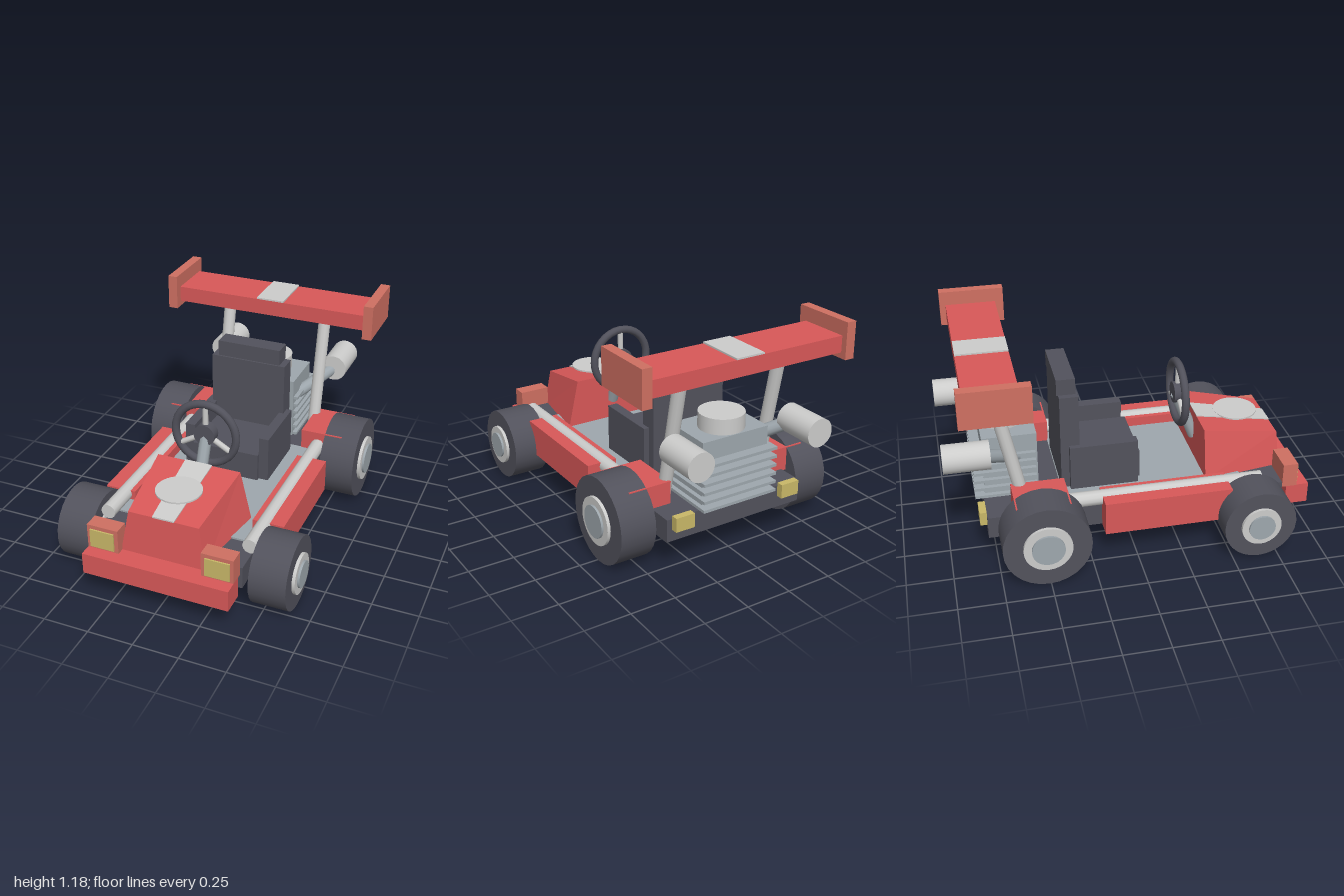
import * as THREE from 'three';

const paint = (name, color, extra = {}) => {
  const m = new THREE.MeshStandardMaterial({ color, ...extra });
  m.name = name;
  return m;
};

export function createModel() {
  const red = paint('body red', 0xd85858);
  const coral = paint('trim coral', 0xcf7062);
  const dark = paint('rubber and seat charcoal', 0x52525c);
  const steel = paint('steel grey', 0x9ea7ad);
  const silver = paint('polished silver', 0xcccccb);
  const gold = paint('lamp gold', 0xc9b868);

  const kart = new THREE.Group();
  kart.name = 'goKart';

  const add = (name, geometry, material, parent = kart) => {
    const mesh = new THREE.Mesh(geometry, material);
    mesh.name = name;
    parent.add(mesh);
    return mesh;
  };
  // Box given by its extents along each axis
  const box = (name, mat, [x0, x1], [y0, y1], [z0, z1], parent = kart) => {
    const mesh = add(name, new THREE.BoxGeometry(x1 - x0, y1 - y0, z1 - z0), mat, parent);
    mesh.position.set((x0 + x1) / 2, (y0 + y1) / 2, (z0 + z1) / 2);
    return mesh;
  };
  // Cylinder between two points
  const rod = (name, mat, a, b, r, sides = 12, parent = kart) => {
    const p = new THREE.Vector3(...a), q = new THREE.Vector3(...b);
    const dir = q.clone().sub(p);
    const mesh = add(name, new THREE.CylinderGeometry(r, r, dir.length(), sides), mat, parent);
    mesh.position.copy(p).add(q).multiplyScalar(0.5);
    mesh.quaternion.setFromUnitVectors(new THREE.Vector3(0, 1, 0), dir.normalize());
    return mesh;
  };
  // Six-sided block whose eight corners follow a rule
  const wedge = (name, mat, corner) => {
    const g = new THREE.BoxGeometry(2, 2, 2).toNonIndexed();
    const p = g.attributes.position;
    for (let i = 0; i < p.count; i++) p.setXYZ(i, ...corner(p.getX(i), p.getY(i), p.getZ(i)));
    g.computeVertexNormals();
    return add(name, g, mat);
  };

  // Chassis and floor
  box('chassis', dark, [-0.415, 0.415], [0.175, 0.3], [-0.795, 0.84]);
  box('floorPlate', steel, [-0.39, 0.39], [0.29, 0.31], [-0.37, 0.63]);
  box('frontBumper', red, [-0.405, 0.405], [0.145, 0.265], [0.87, 1]);

  // Nose cone, tapering upward and forward
  wedge('nose', red, (x, y, z) => {
    if (y > 0) return z > 0 ? [x * 0.195, 0.497, 0.868] : [x * 0.237, 0.58, 0.432];
    return z > 0 ? [x * 0.235, 0.265, 0.887] : [x * 0.302, 0.3, 0.43];
  });
  wedge('noseStripe', silver, (x, y, z) => {
    const lift = y > 0 ? 0.006 : -0.002;
    return z > 0 ? [x * 0.06, 0.497 + lift, 0.87] : [x * 0.077, 0.58 + lift, 0.432];
  });
  rod('noseRoundel', silver, [0, 0.555, 0.678], [0, 0.564, 0.678], 0.123, 32);

  // Steering column, hub, spokes and rim
  rod('steeringColumn', steel, [0, 0.42, 0.44], [0, 0.7, 0.33], 0.033, 10);
  const steering = new THREE.Group();
  steering.name = 'steeringWheel';
  steering.position.set(0, 0.71, 0.338);
  kart.add(steering);
  add('steeringRim', new THREE.TorusGeometry(0.174, 0.022, 10, 32), dark, steering);
  rod('steeringHub', dark, [0, 0, -0.03], [0, 0, 0.025], 0.06, 20, steering);
  for (let i = 0; i < 3; i++) {
    const a = Math.PI / 2 + (i * Math.PI * 2) / 3;
    const c = Math.cos(a), s = Math.sin(a);
    rod('steeringSpoke', silver, [c * 0.05, s * 0.05, 0], [c * 0.165, s * 0.165, 0], 0.016, 8, steering);
  }

  // Seat
  box('seatCushion', dark, [-0.195, 0.195], [0.305, 0.47], [-0.3, 0.077]);
  box('seatBack', dark, [-0.22, 0.22], [0.305, 0.865], [-0.366, -0.262]);
  box('headrest', dark, [-0.185, 0.185], [0.865, 0.955], [-0.375, -0.272]);
  for (const s of [-1, 1]) {
    const bolster = box('seatBolster', dark, [-0.028, 0.028], [0.305, 0.57], [-0.32, 0.055]);
    bolster.position.x = s * 0.222;
  }

  // Engine block with cooling fins and air filter
  box('engineBlock', steel, [-0.2, 0.2], [0.3, 0.66], [-0.785, -0.49]);
  for (let i = 0; i < 6; i++) {
    const y = 0.31 + i * 0.048;
    box('engineFin', steel, [-0.225, 0.225], [y - 0.008, y + 0.008], [-0.84, -0.5]);
  }
  rod('airFilter', silver, [0, 0.655, -0.658], [0, 0.745, -0.658], 0.122, 28);

  // Rear wing
  box('wing', red, [-0.575, 0.575], [1.01, 1.1], [-0.88, -0.6]);
  box('wingStripe', silver, [-0.082, 0.082], [1.1, 1.109], [-0.88, -0.6]);

  // Axles
  rod('frontAxle', steel, [-0.5, 0.2, 0.645], [0.5, 0.2, 0.645], 0.032);
  rod('rearAxle', steel, [-0.5, 0.235, -0.51], [0.5, 0.235, -0.51], 0.032);

  // Tyre, rim and hub cap, facing outward on side s
  const wheel = (name, s, y, z, radius, rim, cap) => {
    const g = new THREE.Group();
    g.name = name;
    g.position.set(0, y, z);
    kart.add(g);
    rod('tyre', dark, [s * 0.445, 0, 0], [s * 0.645, 0, 0], radius, 28, g);
    rod('rim', silver, [s * 0.435, 0, 0], [s * 0.662, 0, 0], rim, 28, g);
    rod('hubCap', steel, [s * 0.66, 0, 0], [s * 0.674, 0, 0], cap, 24, g);
  };

  // Parts mirrored left and right
  for (const s of [-1, 1]) {
    const side = s > 0 ? 'left' : 'right';
    const span = (a, b) => (s > 0 ? [a, b] : [-b, -a]);
    wheel(side + 'FrontWheel', s, 0.2, 0.645, 0.2, 0.11, 0.073);
    wheel(side + 'RearWheel', s, 0.235, -0.51, 0.235, 0.13, 0.088);
    box(side + 'SidePod', red, span(0.342, 0.515), [0.175, 0.365], [-0.18, 0.518]);
    rod(side + 'SideRail', silver, [s * 0.403, 0.342, -0.37], [s * 0.403, 0.342, 0.713], 0.041);
    box(side + 'RearFender', red, span(0.302, 0.545), [0.29, 0.425], [-0.655, -0.365]);
    box(side + 'HeadlampHousing', coral, span(0.23, 0.405), [0.262, 0.402], [0.845, 0.93]);
    box(side + 'HeadlampLens', gold, span(0.252, 0.387), [0.277, 0.38], [0.93, 0.939]);
    box(side + 'RearLamp', gold, span(0.275, 0.385), [0.24, 0.318], [-0.833, -0.795]);
    rod(side + 'WingStrut', silver, [s * 0.3, 0.3, -0.583], [s * 0.3, 1.02, -0.733], 0.036);
    box(side + 'WingEndPlate', coral, span(0.575, 0.63), [0.978, 1.178], [-0.913, -0.552]);
    rod(side + 'ExhaustPipe', steel, [s * 0.17, 0.52, -0.6], [s * 0.355, 0.65, -0.79], 0.036);
    rod(side + 'Muffler', silver, [s * 0.36, 0.661, -0.755], [s * 0.36, 0.661, -1], 0.077, 28);
  }
  return kart;
}
